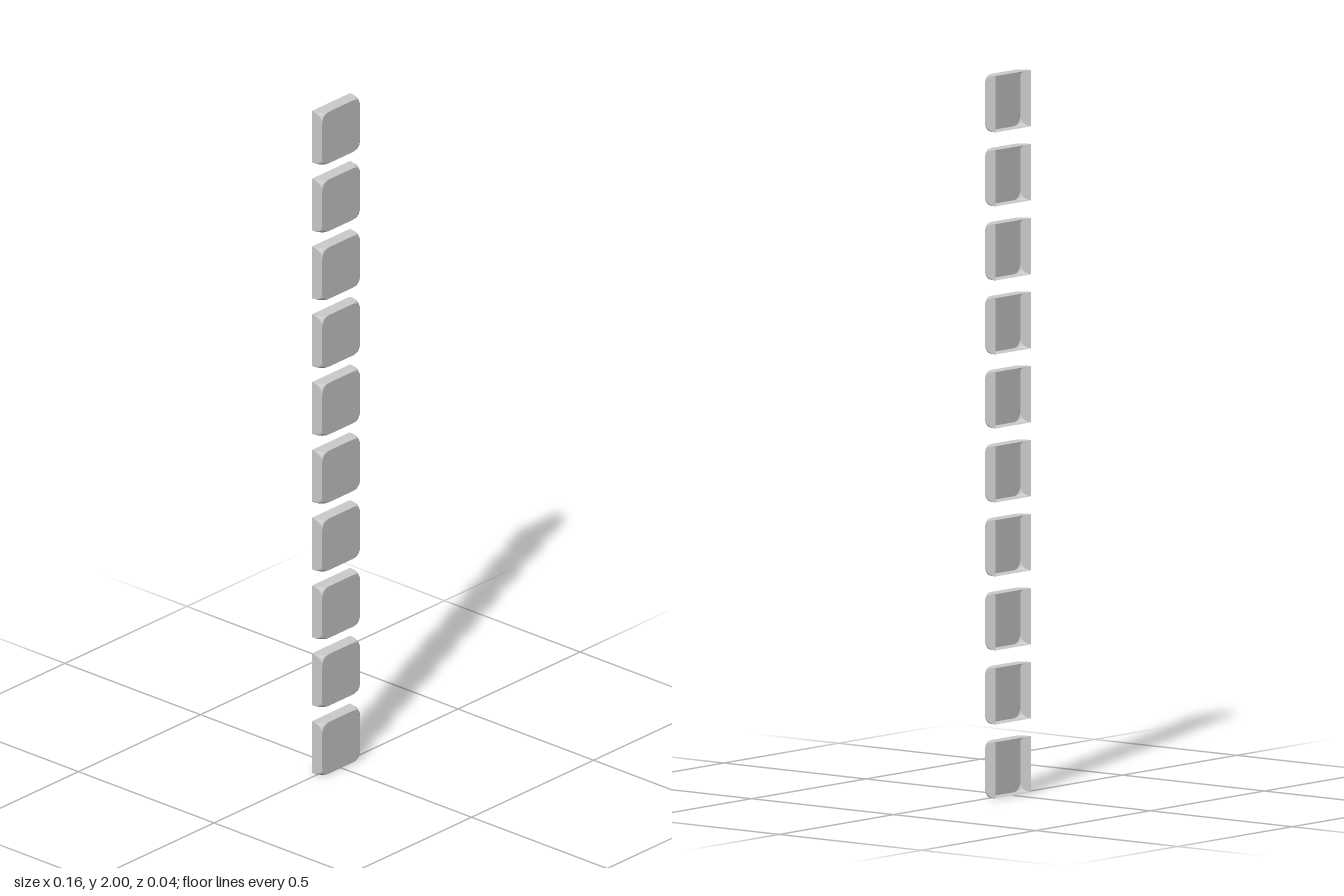
import * as THREE from 'three';

const COUNT = 10;      // tiles in the column
const HALF = 0.078;    // half of a tile's side
const DEPTH = 0.038;   // front to back
const CORNER = 0.03;   // corner radius at the front face
const RINGS = 8, ARC = 6;

// Square outline with rounded corners, counter-clockwise seen from the front
function outline(radius) {
  const points = [];
  for (let c = 0; c < 4; c++) {
    const mid = Math.PI / 4 + c * Math.PI / 2;
    const cx = Math.sign(Math.cos(mid)) * (HALF - radius);
    const cy = Math.sign(Math.sin(mid)) * (HALF - radius);
    for (let i = 0; i <= ARC; i++) {
      const a = (c + i / ARC) * Math.PI / 2;
      points.push(new THREE.Vector2(cx + radius * Math.cos(a), cy + radius * Math.sin(a)));
    }
  }
  return points;
}

// Side walls: sharp square at the open back, corners curving in towards the front
function wallGeometry() {
  const position = [], index = [], n = 4 * (ARC + 1);
  for (let j = 0; j <= RINGS; j++) {
    const a = (j / RINGS) * Math.PI / 2;
    const radius = Math.max(CORNER * (1 - Math.cos(a)), 1e-4);
    const z = -DEPTH / 2 + DEPTH * Math.sin(a);
    for (const p of outline(radius)) position.push(p.x, p.y, z);
  }
  for (let j = 0; j < RINGS; j++) {
    for (let i = 0; i < n; i++) {
      const a = j * n + i, b = j * n + (i + 1) % n;
      index.push(a, b, b + n, a, b + n, a + n);
    }
  }
  const geometry = new THREE.BufferGeometry();
  geometry.setAttribute('position', new THREE.Float32BufferAttribute(position, 3));
  geometry.setIndex(index);
  geometry.computeVertexNormals();
  return geometry;
}

export function createModel() {
  const model = new THREE.Group();
  model.name = 'tileColumn';
  const material = new THREE.MeshStandardMaterial({ color: 0xcccccc, side: THREE.DoubleSide });
  const walls = wallGeometry();
  const face = new THREE.ShapeGeometry(new THREE.Shape(outline(CORNER)));
  face.translate(0, 0, DEPTH / 2);

  // Column of evenly spaced hollow tiles
  const pitch = (2 - 2 * HALF) / (COUNT - 1);
  for (let k = 0; k < COUNT; k++) {
    const tile = new THREE.Group();
    tile.name = `tile${k + 1}`;
    const wallMesh = new THREE.Mesh(walls, material);
    wallMesh.name = 'tileWalls';
    const faceMesh = new THREE.Mesh(face, material);
    faceMesh.name = 'tileFace';
    tile.add(wallMesh, faceMesh);
    tile.position.y = HALF + k * pitch;
    model.add(tile);
  }
  return model;
}
